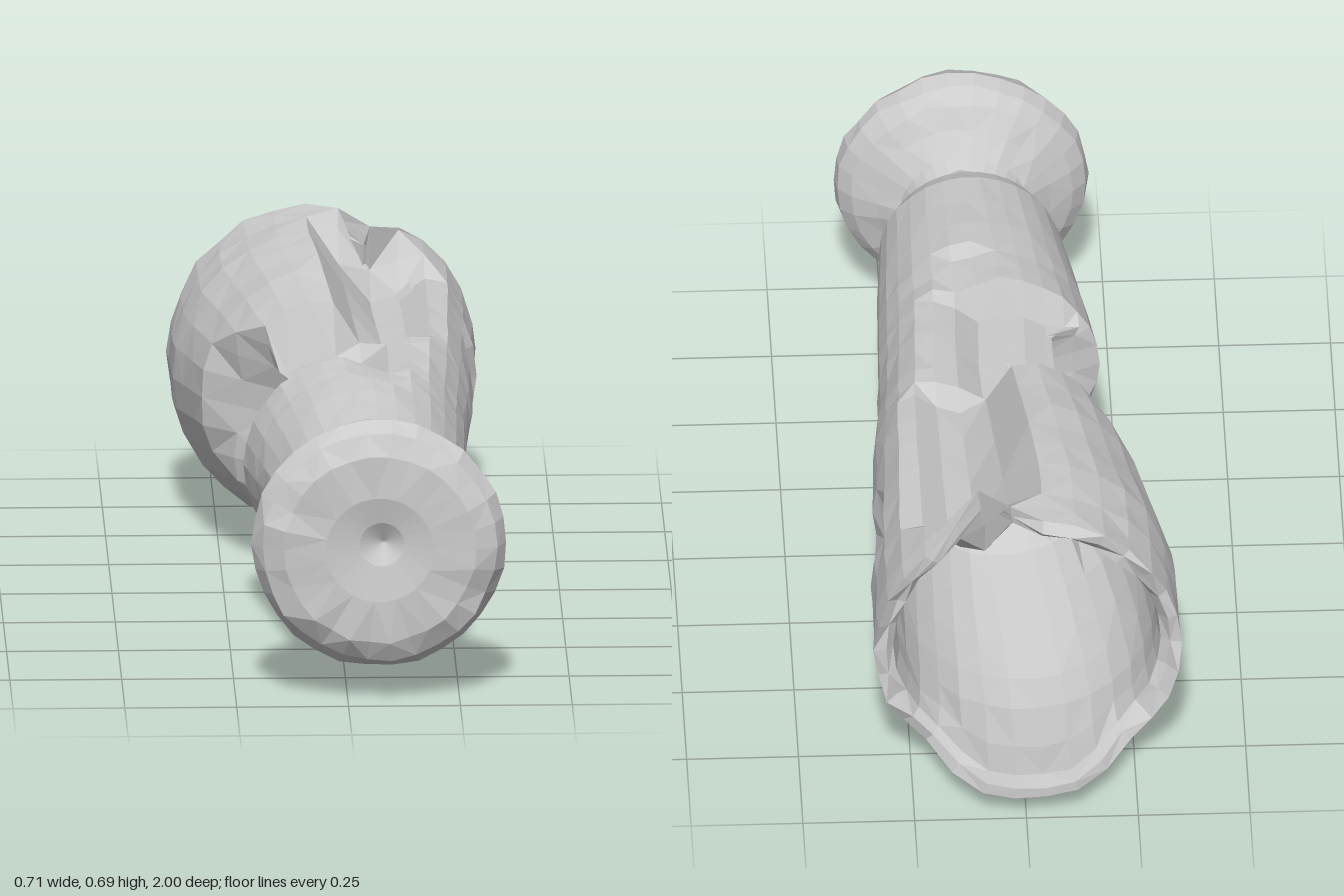
import * as THREE from 'three';

const SIDES = 30;
const clamp = (v, a = 0, b = 1) => Math.min(b, Math.max(a, v));
const lerp = THREE.MathUtils.lerp;

// repeatable unevenness, -1..1
const rough = (i, j) => {
  const s = Math.sin(i * 127.1 + (j % SIDES) * 311.7) * 43758.5453;
  return (s - Math.floor(s)) * 2 - 1;
};

// skin a list of closed rings (front to back), each an array of [x, y, z]
function skin(name, rings) {
  const pos = [], idx = [];
  rings.forEach(r => r.forEach(p => pos.push(...p)));
  for (let i = 0; i < rings.length - 1; i++) {
    for (let j = 0; j < SIDES; j++) {
      const k = (j + 1) % SIDES;
      const a = i * SIDES + j, b = i * SIDES + k, c = a + SIDES, d = b + SIDES;
      if ((i + j) % 2) idx.push(a, c, b, b, c, d);
      else idx.push(a, c, d, a, d, b);
    }
  }
  const g = new THREE.BufferGeometry();
  g.setAttribute('position', new THREE.Float32BufferAttribute(pos, 3));
  g.setIndex(idx);
  g.computeVertexNormals();
  const mesh = new THREE.Mesh(g, new THREE.MeshStandardMaterial({
    color: 0xcccccc, flatShading: true, side: THREE.DoubleSide }));
  mesh.name = name;
  return mesh;
}

// z, centre x, centre y, radius
const FOOT = [
  [0.955, 0.08, 0.37, 0], [0.982, 0.075, 0.37, 0.05], [0.995, 0.07, 0.36, 0.12],
  [0.992, 0.07, 0.36, 0.215], [0.967, 0.07, 0.36, 0.262], [0.925, 0.07, 0.36, 0.284],
  [0.89, 0.07, 0.36, 0.277], [0.86, 0.07, 0.36, 0.248], [0.83, 0.068, 0.362, 0.195],
  [0.795, 0.065, 0.365, 0.143], [0.765, 0.065, 0.365, 0.13], [0.74, 0.065, 0.365, 0.137],
];
const BODY = [
  [0.74, 0.065, 0.365, 0.137], [0.7, 0.06, 0.36, 0.18], [0.65, 0.06, 0.36, 0.202],
  [0.45, 0.05, 0.36, 0.225], [0.2, 0.035, 0.355, 0.25], [0, 0.04, 0.362, 0.253],
  [-0.13, 0.03, 0.37, 0.276], [-0.33, 0.013, 0.365, 0.305],
  [-0.6, -0.01, 0.342, 0.341], [-0.82, -0.01, 0.345, 0.343],
];

function sectionAt(z) {
  let i = 0;
  while (i < BODY.length - 2 && z < BODY[i + 1][0]) i++;
  const a = BODY[i], b = BODY[i + 1], t = (z - a[0]) / (b[0] - a[0]);
  return a.map((v, n) => lerp(v, b[n], t));
}

// caved-in left side: the lowest x allowed at this place
function leftLimit(z, y) {
  if (z > 0.22) return -1;
  const fold = 0.06 * Math.exp(-(((y - 0.4) / 0.1) ** 2)) + 0.6 * Math.max(0, 0.24 - y);
  if (z > 0.15) return lerp(-0.12 + fold, -0.215, (z - 0.15) / 0.07);
  if (z > -0.09) return -0.11 + fold;
  return -0.11 + fold * clamp((z + 0.33) / 0.24) + (z + 0.09) * 0.75;
}

// collapsed groove along the top: the highest y allowed at this place
function topLimit(z, x) {
  if (z > 0.36) return 1;
  if (z > 0.2) return 0.61 - 0.05 * Math.exp(-(((x - 0.1) / 0.05) ** 2));
  if (z > -0.13) {
    return 0.56 - 0.06 * Math.exp(-(((x - 0.06) / 0.05) ** 2)) - clamp((0.06 - x) * 0.5, 0, 0.08);
  }
  const groove = 0.5 + Math.max(0, 0.08 - x) * 1.6 + Math.max(0, x - 0.14) * 0.7;
  return groove + 0.18 * clamp((-0.64 - z) / 0.16);
}

// one damaged ring of the body; scale < 1 gives the inner wall
function bodyRing(z0, scale, row) {
  const [, cx, cy, r] = sectionAt(z0);
  return Array.from({ length: SIDES }, (_, j) => {
    const a = (j / SIDES) * Math.PI * 2;
    const n = z0 < 0.7 ? rough(row, j) : 0;
    const rr = r * (1 + 0.01 * n);
    let x = cx + rr * Math.cos(a), y = cy + rr * Math.sin(a), z = z0;
    x = Math.max(x, leftLimit(z0, y));
    y = Math.min(y, topLimit(z0, x));
    // chipped patch on the right wall
    if (x > 0.2 && z0 < -0.35 && z0 > -0.57 && y > 0.3 && y < 0.43) x -= 0.03;
    // long tongue left at the bottom of the broken rim
    const t = clamp((-0.68 - z0) / 0.14);
    const w = Math.sqrt(clamp((-Math.sin(a) - 0.82) / 0.14));
    z -= 0.18 * w * t;
    // jagged rim, split by a notch at the top
    z += 0.014 * rough(row + 5, j) * t * (1 - w);
    if (y > 0.42) z = Math.max(z, -0.66 - Math.abs(x - 0.1) * 1.3);
    x = cx + (x - cx) * scale;
    y = cy + (y - cy) * scale + 0.055 * w * t * t;
    return [x, y, z];
  });
}

export function createModel() {
  const model = new THREE.Group();
  model.name = 'brokenGoblet';

  // rounded foot with a dimple, narrowing to the neck
  model.add(skin('foot', FOOT.map(([z, cx, cy, r], i) =>
    Array.from({ length: SIDES }, (_, j) => {
      const a = (j / SIDES) * Math.PI * 2;
      const uneven = i > 2 && i < FOOT.length - 1 ? rough(i, j) : 0;
      const rr = r * (1 + 0.012 * uneven);
      return [cx + rr * Math.cos(a), cy + rr * Math.sin(a), z + 0.005 * uneven];
    }))));

  // body: outer wall back to the rim, then the thick lip and inner wall to the cavity end
  const outer = [0.74, 0.7, 0.65, 0.55, 0.45, 0.37, 0.33, 0.27, 0.22, 0.19, 0.15, 0.09, 0.02,
    -0.06, -0.11, -0.15, -0.24, -0.33, -0.42, -0.5, -0.58, -0.64, -0.7, -0.76, -0.82];
  const inner = [[-0.82, 0.93], [-0.8, 0.87], [-0.74, 0.85], [-0.66, 0.85], [-0.56, 0.85],
    [-0.45, 0.85], [-0.33, 0.84], [-0.2, 0.8], [-0.1, 0.65], [-0.06, 0.02]];
  const rings = outer.map((z, i) => bodyRing(z, 1, i));
  inner.forEach(([z, scale], i) => rings.push(bodyRing(z, scale, 40 + i)));
  model.add(skin('brokenBody', rings));

  return model;
}
